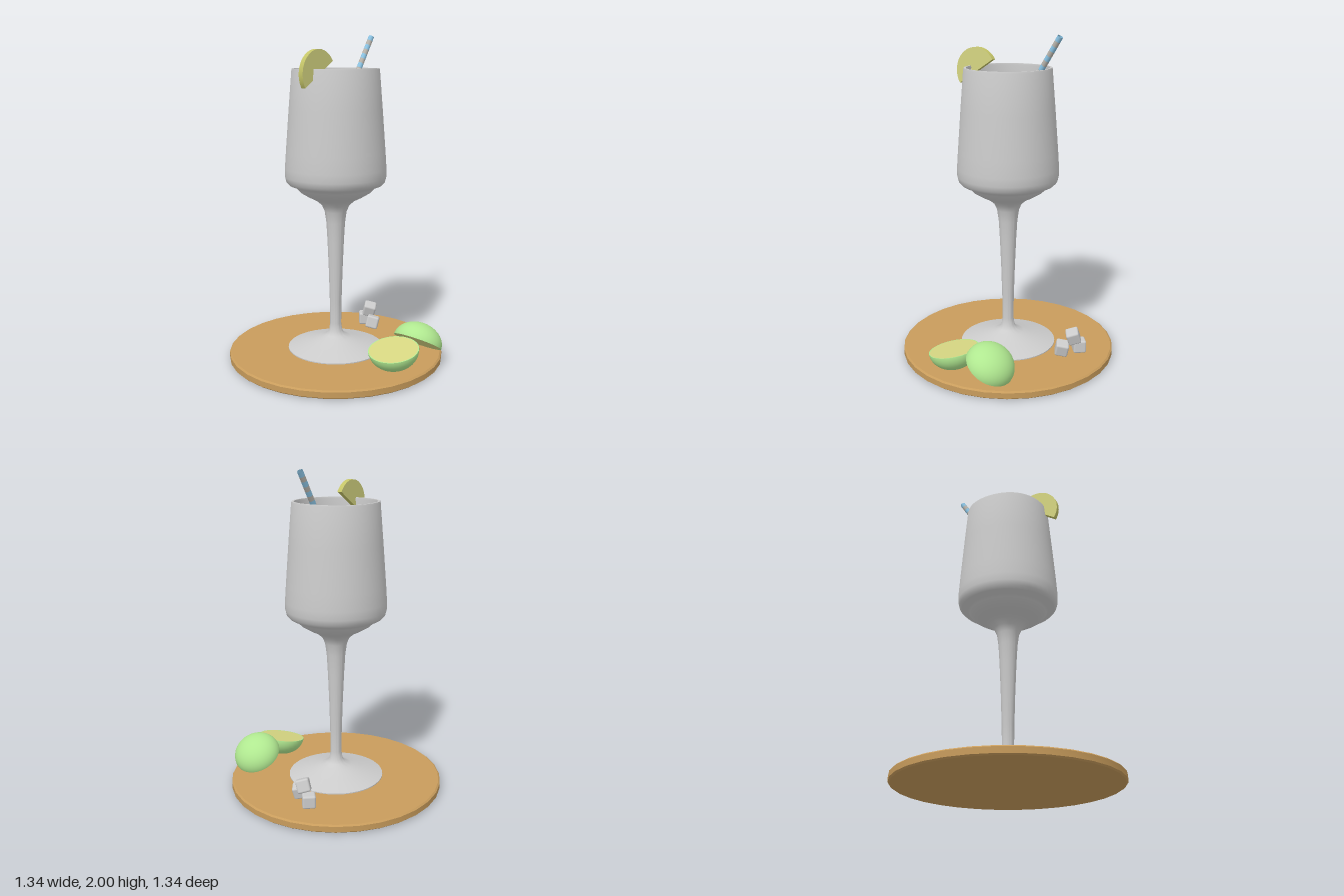
import * as THREE from 'three';
import { toCreasedNormals } from 'three/addons/utils/BufferGeometryUtils.js';
import { RoundedBoxGeometry } from 'three/addons/geometries/RoundedBoxGeometry.js';

const mat = (color, side = THREE.FrontSide) => new THREE.MeshStandardMaterial({ color, side });
const grey = mat(0xcccccc);
const wood = mat(0xc89c5c);
const juice = mat(0xd0cc58);
const flesh = mat(0xd6d682);
const skin = mat(0xb0e890);
const rind = mat(0xc4c468);

function add(parent, name, geometry, material) {
  const mesh = new THREE.Mesh(geometry, material);
  mesh.name = name;
  parent.add(mesh);
  return mesh;
}

const vectors = (points) => points.map(([x, y]) => new THREE.Vector2(x, y));
const lathe = (points, sides, crease = 0.6) =>
  toCreasedNormals(new THREE.LatheGeometry(vectors(points), sides), crease);

// The mouth of the bowl is very slightly squared off
function squareMouth(geometry) {
  const p = geometry.attributes.position;
  for (let i = 0; i < p.count; i++) {
    const t = THREE.MathUtils.smoothstep(p.getY(i), 1.3, 1.8);
    const s = 1 + 0.03 * t * Math.sin(2 * Math.atan2(p.getZ(i), p.getX(i))) ** 2;
    p.setX(i, p.getX(i) * s);
    p.setZ(i, p.getZ(i) * s);
  }
  return geometry;
}

// Half a lime with its cut face up, tilted about z
function limeHalf(name, x, y, z, tilt) {
  const half = new THREE.Group();
  half.name = name;
  add(half, 'limeSkin', new THREE.SphereGeometry(1, 32, 14, 0, Math.PI * 2, Math.PI / 2, Math.PI / 2), skin);
  const edge = add(half, 'limeRindEdge', new THREE.RingGeometry(0.96, 1, 32), skin);
  const face = add(half, 'limeCutFace', new THREE.CircleGeometry(0.96, 32), flesh);
  edge.rotation.x = face.rotation.x = -Math.PI / 2;
  half.scale.set(0.15, 0.12, 0.153);
  half.position.set(x, y, z);
  half.rotation.z = tilt;
  return half;
}

export function createModel() {
  const model = new THREE.Group();
  model.name = 'drinkOnBoard';

  // Round board with softened edges
  add(model, 'board', lathe([
    [0, 0], [0.66, 0], [0.67, 0.008], [0.67, 0.042], [0.66, 0.05], [0, 0.05],
  ], 32), wood);

  // Goblet: foot, tapering stem, stepped bowl and hollow inside
  const outside = [
    [0, 0.05], [0.3, 0.05], [0.3, 0.056], [0.19, 0.09], [0.1, 0.118], [0.06, 0.135], [0.042, 0.16],
    [0.035, 0.21], [0.037, 0.35], [0.043, 0.55], [0.051, 0.74], [0.058, 0.86], [0.068, 0.93],
    [0.085, 0.97], [0.12, 1.0], [0.17, 1.025], [0.215, 1.052], [0.238, 1.075], [0.25, 1.088],
    [0.285, 1.1], [0.302, 1.118], [0.31, 1.15], [0.31, 1.2], [0.303, 1.3], [0.28, 1.55],
    [0.257, 1.79], [0.254, 1.8],
  ];
  const inside = [
    [0.242, 1.8], [0.24, 1.79], [0.262, 1.55], [0.287, 1.3], [0.294, 1.2], [0.29, 1.15], [0.26, 1.11],
    [0.15, 1.06], [0, 1.03],
  ];
  add(model, 'goblet', squareMouth(lathe([...outside, ...inside], 48, 0.7)), grey);

  // Drink filling the bowl
  add(model, 'drink', squareMouth(lathe([
    [0, 1.035], [0.14, 1.06], [0.25, 1.12], [0.288, 1.2], [0.28, 1.3], [0.259, 1.55], [0.249, 1.68], [0, 1.68],
  ], 48)), juice);

  // Striped hollow straw made of alternating bands
  const straw = new THREE.Group();
  straw.name = 'straw';
  const bottom = new THREE.Vector3(0.0, 1.44, 0);
  const top = new THREE.Vector3(0.352, 1.99, 0);
  const bands = 20;
  const length = bottom.distanceTo(top);
  const blue = mat(0x8cc4e4, THREE.DoubleSide);
  const pale = mat(0xb8b4ac, THREE.DoubleSide);
  for (let i = 0; i < bands; i++) {
    const band = add(straw, 'strawBand',
      new THREE.CylinderGeometry(0.017, 0.017, length / bands, 16, 1, true), i % 2 ? blue : pale);
    band.position.y = (i + 0.5) * length / bands;
  }
  straw.position.copy(bottom);
  straw.quaternion.setFromUnitVectors(new THREE.Vector3(0, 1, 0), top.clone().sub(bottom).normalize());
  model.add(straw);

  // Half-round lime slice hooked on the rim
  const sliceShape = new THREE.Shape();
  sliceShape.absarc(0, 0, 0.143, 0, Math.PI, false);
  sliceShape.closePath();
  const slice = add(model, 'limeSlice', toCreasedNormals(new THREE.ExtrudeGeometry(sliceShape, {
    depth: 0.03, bevelEnabled: false, curveSegments: 24,
  }), 0.6), [flesh, rind]);
  slice.position.set(-0.203, 1.768, 0.015);
  slice.rotation.z = 0.56;

  // Two lime halves on the board
  model.add(limeHalf('limeHalfFaceUp', -0.06, 0.17, 0.49, 0.2));
  model.add(limeHalf('limeHalfFaceDown', 0.203, 0.138, 0.487, 2.59));

  // Little pile of ice cubes: position, then rotation
  const cubes = [
    [[0.4, 0.1, -0.005], [0.25, 0.5, -0.3]],
    [[0.445, 0.167, -0.065], [0.3, 0.6, 0.15]],
    [[0.46, 0.091, -0.115], [0, 0.7, 0]],
  ];
  for (const [position, rotation] of cubes) {
    const cube = add(model, 'iceCube', new RoundedBoxGeometry(0.08, 0.08, 0.08, 3, 0.012), grey);
    cube.position.set(...position);
    cube.rotation.set(...rotation);
  }

  return model;
}
